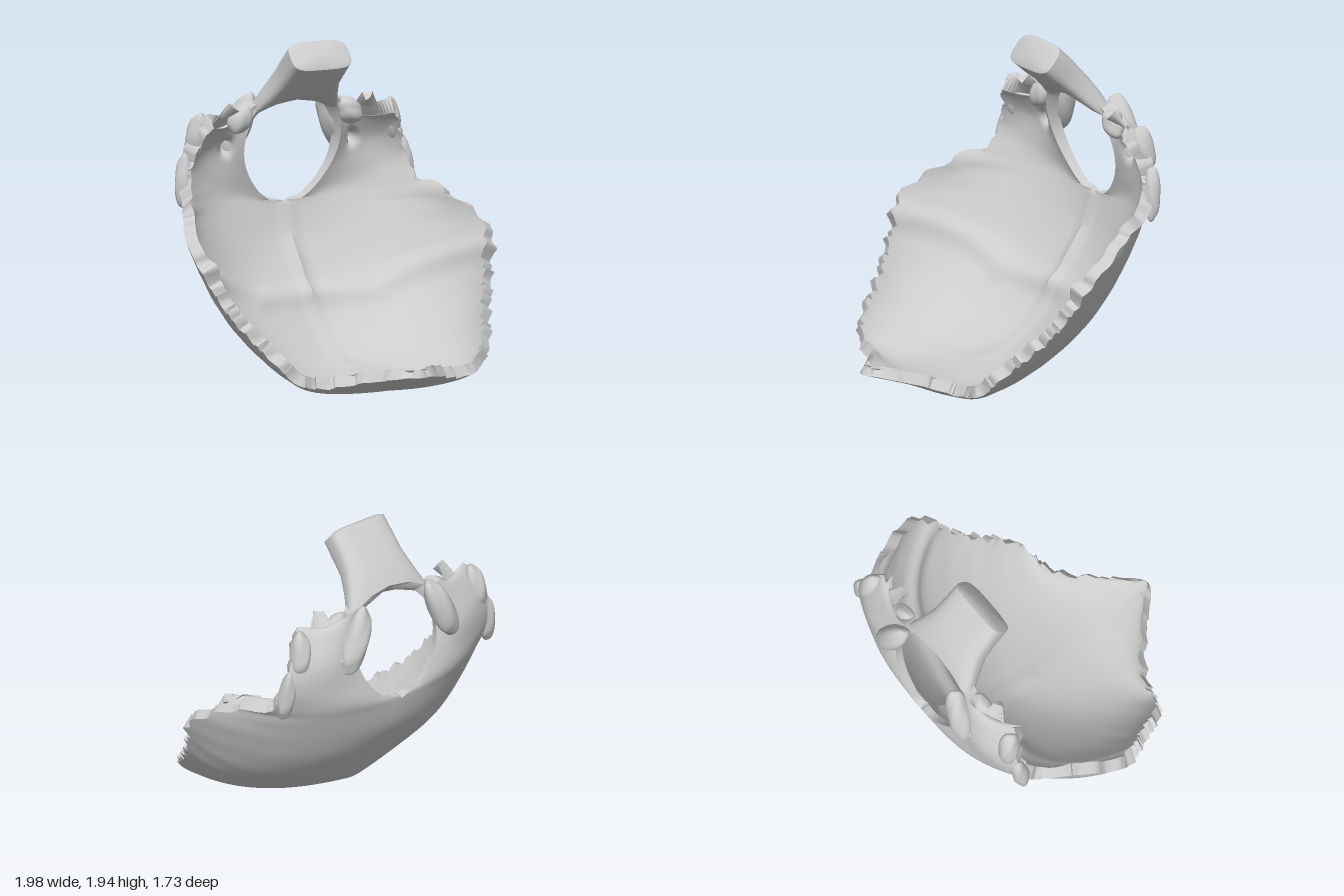
import * as THREE from 'three';
import { mergeVertices, toCreasedNormals } from 'three/addons/utils/BufferGeometryUtils.js';

const V = (x, y, z) => new THREE.Vector3(x, y, z);
const material = new THREE.MeshStandardMaterial({ color: 0xcccccc, side: THREE.DoubleSide });

// stations from the side of the large opening down to the lower tip:
// [inner or midline point, middle point, free edge point]
const STATIONS = [
  [V(.15, 1.58, -.68), V(.32, 1.56, -.73), V(.46, 1.49, -.66)],
  [V(.25, 1.46, -.72), V(.42, 1.45, -.76), V(.61, 1.53, -.63)],
  [V(.29, 1.30, -.77), V(.50, 1.30, -.80), V(.70, 1.38, -.69)],
  [V(.25, 1.14, -.81), V(.50, 1.15, -.80), V(.75, 1.20, -.70)],
  [V(.13, 1.00, -.83), V(.48, 1.02, -.79), V(.79, 1.03, -.60)],
  [V(0, .94, -.83), V(.54, .92, -.72), V(.89, .98, -.40)],
  [V(0, .75, -.77), V(.58, .77, -.62), V(.97, .88, -.22)],
  [V(0, .58, -.66), V(.58, .58, -.50), V(.98, .75, -.06)],
  [V(0, .42, -.55), V(.58, .40, -.33), V(.93, .63, .00)],
  [V(0, .25, -.42), V(.55, .25, -.15), V(.87, .48, .10)],
  [V(0, .12, -.23), V(.50, .13, .03), V(.80, .36, .22)],
  [V(0, .05, .00), V(.45, .06, .18), V(.72, .23, .36)],
  [V(0, .01, .25), V(.38, .02, .35), V(.60, .10, .46)],
  [V(0, .02, .45), V(.25, .03, .48), V(.45, .07, .50)],
  [V(0, .07, .62), V(.16, .08, .61), V(.30, .10, .60)],
  [V(0, .15, .86), V(.03, .15, .85), V(.06, .15, .83)],
];
const ROWS = (STATIONS.length - 1) * 10, COLS = 28;

function seeded(seed) {
  return () => (seed = (seed * 16807) % 2147483647) / 2147483647;
}
const bump = (d, w) => Math.exp(-((d / w) ** 2));

// Outer skin of one half, with the toothed free edge
function outerGrid() {
  const rnd = seeded(77);
  const rails = [0, 1, 2].map(k => new THREE.CatmullRomCurve3(STATIONS.map(s => s[k])));
  const grid = [];
  for (let i = 0; i <= ROWS; i++) {
    const s = i / 10;
    const [m, p, e] = rails.map(r => r.getPoint(i / ROWS));
    m.x = s >= 5 ? 0 : Math.max(m.x, 0);
    const c = p.clone().multiplyScalar(2).addScaledVector(m, -.5).addScaledVector(e, -.5);
    const curve = new THREE.QuadraticBezierCurve3(m, c, e);
    const out = curve.getTangent(1);
    const teeth = s > 8 ? (rnd() - .6) * .045 : (rnd() - .5) * .012;
    const notch = s > 4 && s < 10 ? .02 * Math.sin(s * 7) : .008 * Math.sin(s * 9);
    const row = [];
    for (let j = 0; j <= COLS; j++) {
      const v = j / COLS;
      const q = curve.getPoint(v).addScaledVector(out, notch * v ** 6 + teeth * v ** 40);
      q.x = Math.max(q.x, 0);
      row.push(q);
    }
    grid.push(row);
  }
  return grid;
}

// Bone thickness with inner cross-shaped ridges and the small nerve canal dent
function thickness(q, s, v) {
  let t = .045 + .025 * v ** 4;
  if (s < 5) t += .035 * (1 - s / 5);
  const ridgeY = .42 + .5 * Math.max(0, q.x - .4);
  t += .028 * bump(q.y - ridgeY, .05) * (s > 5 ? 1 : 0);
  if (s >= 5) t += .03 * bump(q.x, .025) * bump(q.y - .55, .4) * (q.z < 0 ? 1 : 0);
  t -= .085 * bump(Math.hypot(q.x - .41, (q.y - 1.32) * .8), .035);
  return t;
}

function shellGeometry() {
  const outer = outerGrid(), centre = V(0, .9, .1);
  const inner = outer.map((row, i) => row.map((q, j) => {
    const a = outer[Math.max(i - 1, 0)][j], b = outer[Math.min(i + 1, ROWS)][j];
    const jj = Math.min(j, COLS - 2);
    const n = b.clone().sub(a).cross(row[jj + 1].clone().sub(row[Math.max(jj - 1, 0)]));
    if (n.dot(q.clone().sub(centre)) < 0) n.negate();
    if (q.x === 0) n.x = 0;
    const r = q.clone().addScaledVector(n.normalize(), -thickness(q, i / 10, j / COLS));
    r.x = Math.max(r.x, 0);
    return r;
  }));
  const pos = [];
  const tri = (a, b, c) => {
    pos.push(a.x, a.y, a.z, b.x, b.y, b.z, c.x, c.y, c.z);
    pos.push(-a.x, a.y, a.z, -c.x, c.y, c.z, -b.x, b.y, b.z);
  };
  const quad = (a, b, c, d) => { tri(a, b, c); tri(a, c, d); };
  for (let i = 0; i < ROWS; i++) {
    const o = outer[i], p = outer[i + 1], n = inner[i], m = inner[i + 1];
    for (let j = 0; j < COLS; j++) {
      quad(o[j], o[j + 1], p[j + 1], p[j]);
      quad(n[j], m[j], m[j + 1], n[j + 1]);
    }
    quad(o[COLS], n[COLS], m[COLS], p[COLS]);
    if (i < 50) quad(o[0], p[0], m[0], n[0]);
  }
  for (let j = 0; j < COLS; j++) {
    quad(outer[0][j], inner[0][j], inner[0][j + 1], outer[0][j + 1]);
    quad(outer[ROWS][j], outer[ROWS][j + 1], inner[ROWS][j + 1], inner[ROWS][j]);
  }
  return finish(pos, .9);
}

function finish(pos, crease) {
  const g = new THREE.BufferGeometry();
  g.setAttribute('position', new THREE.Float32BufferAttribute(pos, 3));
  return toCreasedNormals(mergeVertices(g, 1e-5), crease);
}

// Thick wedge above the opening: rounded-box sections that arch over it
function basilarGeometry() {
  // [y, z, half width, half thickness, arch]
  const sections = [
    [1.875, -.365, .165, .085, 0], [1.868, -.373, .195, .1, 0], [1.79, -.46, .198, .097, .1],
    [1.73, -.53, .205, .088, .4], [1.68, -.59, .235, .078, .9], [1.635, -.64, .27, .065, 1.1],
    [1.605, -.68, .29, .045, 1.2],
  ];
  const N = 40, pos = [];
  const power = (c, e) => Math.sign(c) * Math.abs(c) ** e;
  const rings = sections.map(([y, z, w, h, arch]) => Array.from({ length: N }, (_, k) => {
    const a = k / N * Math.PI * 2, x = w * power(Math.cos(a), .45), t = h * power(Math.sin(a), .6);
    return V(x, y + t * .76 - arch * x * x, z - t * .65 - arch * .25 * x * x);
  }));
  const tri = (...pts) => pts.forEach(p => pos.push(p.x, p.y, p.z));
  rings.forEach((r, i) => {
    for (let k = 0; k < N; k++) {
      const l = (k + 1) % N, q = rings[i + 1];
      if (q) { tri(r[k], q[k], q[l]); tri(r[k], q[l], r[l]); }
    }
  });
  [0, rings.length - 1].forEach(e => {
    const r = rings[e], c = V(0, sections[e][0], sections[e][1]);
    for (let k = 0; k < N; k++) {
      const l = (k + 1) % N;
      if (e) tri(c, r[l], r[k]); else tri(c, r[k], r[l]);
    }
  });
  return finish(pos, .9);
}

// Uneven ellipsoid for the bony knobs
function knobGeometry(rx, ry, rz) {
  const g = new THREE.SphereGeometry(1, 32, 24), p = g.attributes.position;
  for (let i = 0; i < p.count; i++) {
    const x = p.getX(i), y = p.getY(i), z = p.getZ(i);
    const k = 1 + .07 * Math.sin(4 * x + 3 * y) * Math.cos(3 * z - 2 * y);
    p.setXYZ(i, x * k * rx, y * k * ry, z * k * rz);
  }
  g.computeVertexNormals();
  return g;
}

export function createModel() {
  const model = new THREE.Group();
  model.name = 'skullBase';
  const add = (name, geometry) => {
    const mesh = new THREE.Mesh(geometry, material);
    mesh.name = name;
    model.add(mesh);
    return mesh;
  };
  add('curvedShell', shellGeometry());
  add('basilarWedge', basilarGeometry());

  // paired knobs: name, radii, position, tilt about z and x
  const knobs = [
    ['Condyle', [.075, .21, .075], [.31, 1.42, -.79], .38, .1],
    ['JugularProcess', [.06, .14, .065], [.64, 1.40, -.69], .12, .15],
    ['JugularTubercle', [.07, .09, .055], [.36, 1.48, -.67], .7, 0],
    ['SideFlange', [.05, .16, .05], [.73, 1.15, -.68], .1, -.1],
  ];
  for (const [name, radii, at, tiltZ, tiltX] of knobs) {
    for (const side of [1, -1]) {
      const knob = add((side > 0 ? 'left' : 'right') + name, knobGeometry(...radii));
      knob.position.set(side * at[0], at[1], at[2]);
      knob.rotation.set(tiltX, 0, side * tiltZ);
    }
  }
  return model;
}
